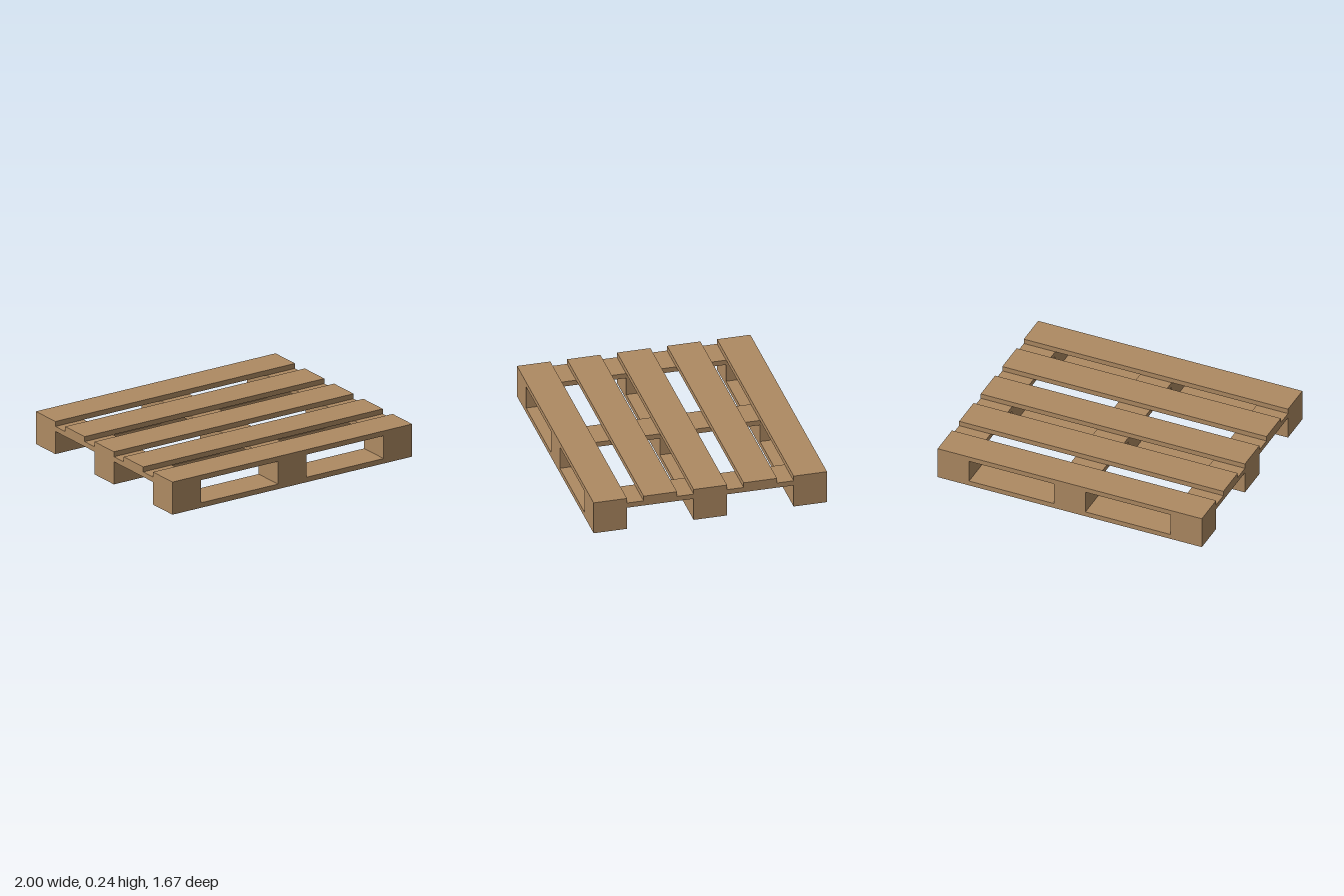
import * as THREE from 'three';

export function createModel() {
  const wood = new THREE.MeshStandardMaterial({ color: 0xae8a62 });
  wood.name = 'wood';
  const group = new THREE.Group();
  group.name = 'pallet';

  const board = 0.0367;              // board thickness
  const width = 0.238;               // board and block width
  const height = 0.24;
  const deckY = height - board;      // underside of the deck boards
  const depth = 1.666;
  const pitch = (depth - width) / 4; // spacing of the deck boards

  function add(name, geometry, x, y, z) {
    const mesh = new THREE.Mesh(geometry, wood);
    mesh.name = name;
    mesh.position.set(x, y, z);
    group.add(mesh);
  }

  // Closed rectangle for outlines and holes
  function rect(path, x0, y0, x1, y1) {
    path.moveTo(x0, y0);
    path.lineTo(x1, y0);
    path.lineTo(x1, y1);
    path.lineTo(x0, y1);
    path.closePath();
    return path;
  }

  // Skid: bottom board, three blocks and top board in one piece with two fork openings
  const outline = rect(new THREE.Shape(), -1, 0, 1, height);
  for (const [x0, x1] of [[-1 + width, -width / 2], [width / 2, 1 - width]]) {
    outline.holes.push(rect(new THREE.Path(), x0, board, x1, deckY));
  }
  const skid = new THREE.ExtrudeGeometry(outline, { depth: width, bevelEnabled: false });
  skid.translate(0, 0, -width / 2);
  for (const i of [-2, 0, 2]) add('skid', skid, 0, 0, i * pitch);

  // Deck boards between the skids
  const deck = new THREE.BoxGeometry(2, board, width);
  for (const i of [-1, 1]) add('deckBoard', deck, 0, deckY + board / 2, i * pitch);

  // Cross boards under the deck, spanning from skid to skid
  const cross = new THREE.BoxGeometry(width, board, 2 * pitch - width);
  for (const x of [-1 + width / 2, 0, 1 - width / 2]) {
    for (const side of [-1, 1]) add('crossBoard', cross, x, deckY - board / 2, side * pitch);
  }

  return group;
}
